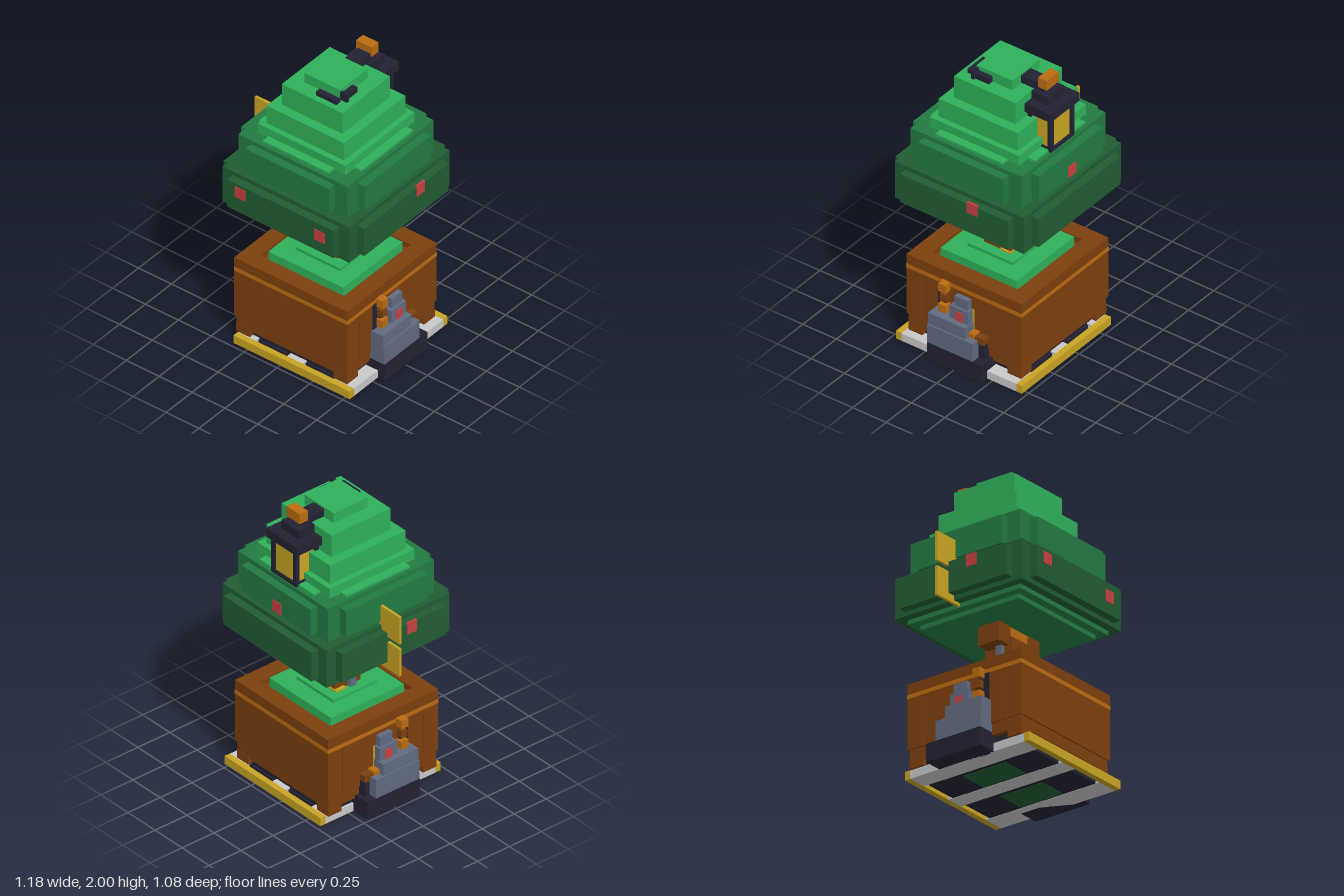
import * as THREE from 'three';

const mat = (name, color) => {
  const m = new THREE.MeshStandardMaterial({ color });
  m.name = name;
  return m;
};

export function createModel() {
  const brightGreen = mat('brightGreen', 0x2eb05a), midGreen = mat('midGreen', 0x237a42);
  const darkGreen = mat('darkGreen', 0x215c33), brown = mat('brown', 0x7c3f0e);
  const orange = mat('orange', 0xbb6b10), yellow = mat('yellow', 0xc9a423);
  const black = mat('black', 0x222233), grey = mat('grey', 0x606a80);
  const white = mat('white', 0xc8c8c8), red = mat('red', 0xc84040);

  const model = new THREE.Group();
  const group = (name, x = 0) => {
    const g = new THREE.Group();
    g.name = name;
    g.position.x = x;
    model.add(g);
    return g;
  };
  // Box given by its limits on each axis
  const box = (parent, name, m, x0, x1, y0, y1, z0, z1) => {
    const mesh = new THREE.Mesh(new THREE.BoxGeometry(x1 - x0, y1 - y0, z1 - z0), m);
    mesh.position.set((x0 + x1) / 2, (y0 + y1) / 2, (z0 + z1) / 2);
    mesh.name = name;
    parent.add(mesh);
    return mesh;
  };
  // Square ring, open in the middle
  const ring = (parent, name, m, half, inner, y0, y1) => {
    for (const s of [-1, 1]) {
      const [a, b] = s > 0 ? [inner, half] : [-half, -inner];
      box(parent, name, m, -half, half, y0, y1, a, b);
      box(parent, name, m, a, b, y0, y1, -inner, inner);
    }
  };

  // Everything is centred on x = 0.05, apart from the side leaves
  const C = 0.05;

  // Pallet
  const pallet = group('pallet');
  for (const s of [-1, 1]) box(pallet, 'palletRail', yellow, -0.355, 0.53, 0, 0.057, s * 0.45 - 0.02, s * 0.45 + 0.02);
  for (const [a, b] of [[-0.355, -0.22], [0.02, 0.14], [0.38, 0.53]]) {
    box(pallet, 'palletSlat', white, a, b, 0, 0.055, -0.43, 0.43);
  }
  for (const [a, b] of [[-0.22, 0.02], [0.14, 0.38]]) {
    box(pallet, 'palletFloor', black, a, b, 0.002, 0.045, -0.4, 0.4);
    box(pallet, 'palletPatch', darkGreen, a + 0.03, b - 0.01, 0, 0.03, -0.16, 0.16);
  }

  // Planter
  const planter = group('planter', C);
  box(planter, 'underFrame', black, -0.39, 0.39, 0.045, 0.105, -0.39, 0.39);
  for (const sx of [-1, 1]) for (const sz of [-1, 1]) {
    box(planter, 'foot', brown, sx * 0.37 - 0.052, sx * 0.37 + 0.052, 0.055, 0.11, sz * 0.37 - 0.052, sz * 0.37 + 0.052);
    box(planter, 'cornerPost', brown, sx * 0.375 - 0.055, sx * 0.375 + 0.055, 0.178, 0.515, sz * 0.375 - 0.055, sz * 0.375 + 0.055);
    box(planter, 'seam', darkGreen, sx * 0.415 - 0.006, sx * 0.415 + 0.006, 0.18, 0.515, sz * 0.328 - 0.007, sz * 0.328 + 0.007);
  }
  box(planter, 'baseBand', brown, -0.42, 0.42, 0.1, 0.18, -0.42, 0.42);
  box(planter, 'wall', brown, -0.418, 0.418, 0.178, 0.57, -0.425, 0.425);
  for (const s of [-1, 1]) {
    box(planter, 'endPanel', brown, -0.42, 0.42, 0.178, 0.515, s * 0.4225 - 0.0075, s * 0.4225 + 0.0075);
    box(planter, 'sidePanel', brown, s * 0.42 - 0.01, s * 0.42 + 0.01, 0.178, 0.515, -0.315, 0.315);
  }
  ring(planter, 'stripe', orange, 0.432, 0.33, 0.513, 0.54);
  ring(planter, 'rim', brown, 0.43, 0.32, 0.54, 0.61);
  box(planter, 'lowerMound', brightGreen, -0.285, 0.285, 0.56, 0.635, -0.285, 0.285);
  box(planter, 'upperMound', brightGreen, -0.17, 0.17, 0.63, 0.655, -0.17, 0.17);

  // Machine on each side of the planter
  for (const s of [-1, 1]) {
    const g = group(s > 0 ? 'leftMachine' : 'rightMachine', C);
    const part = (name, m, x0, x1, ...rest) => box(g, name, m, Math.min(s * x0, s * x1), Math.max(s * x0, s * x1), ...rest);
    part('machineBase', black, 0.39, 0.533, 0, 0.12, -0.21, 0.2);
    part('machineBody', grey, 0.42, 0.53, 0.12, 0.25, -0.14, 0.2);
    part('machineShoulder', grey, 0.42, 0.52, 0.25, 0.33, -0.075, 0.2);
    part('machineNeck', grey, 0.42, 0.48, 0.33, 0.42, -0.07, 0.07);
    part('machineTop', grey, 0.42, 0.465, 0.42, 0.49, -0.055, 0.045);
    part('redLamp', red, 0.475, 0.485, 0.33, 0.395, -0.03, 0.025);
    part('backPlate', black, 0.42, 0.436, 0.33, 0.515, 0.15, 0.19);
    part('sidePlate', yellow, 0.42, 0.436, 0.28, 0.42, -0.08, -0.07);
    part('upperBlock', orange, 0.42, 0.48, 0.485, 0.545, 0.1, 0.155);
    part('middleBlock', brown, 0.42, 0.475, 0.415, 0.465, 0.105, 0.15);
    part('lowerBlock', orange, 0.42, 0.48, 0.34, 0.395, 0.1, 0.155);
    part('blockRod', black, 0.42, 0.45, 0.33, 0.5, 0.115, 0.14);
    part('arm', brown, 0.42, 0.48, 0.225, 0.27, -0.185, -0.12);
    part('armJoint', orange, 0.42, 0.485, 0.245, 0.28, -0.12, -0.07);
    part('armPost', black, 0.42, 0.47, 0.12, 0.225, -0.18, -0.14);
  }

  // Trunk
  const trunk = group('trunk', C);
  box(trunk, 'trunkPost', brown, -0.1, 0.1, 0.65, 0.9, -0.1, 0.1);
  box(trunk, 'trunkCore', orange, -0.085, 0.085, 0.9, 1, -0.075, 0.075);
  for (const s of [-1, 1]) box(trunk, 'branch', brown, s * 0.14 - 0.055, s * 0.14 + 0.055, 0.85, 1, -0.08, 0.08);
  box(trunk, 'pipe', grey, -0.13, -0.1, 0.65, 0.98, 0, 0.045);
  box(trunk, 'trunkBand', yellow, -0.12, 0.11, 0.65, 0.668, -0.105, -0.03);

  // Canopy: stepped blocks, some widened by cross-shaped arms
  const canopy = group('canopy', C);
  const block = (name, m, hx, hz, y0, y1) => box(canopy, name, m, -hx, hx, y0, y1, -hz - 0.005, hz - 0.005);
  const tier = (name, m, core, reach, width, y0, y1, a0, a1) => {
    block(name + 'Core', m, core, core, y0, y1);
    block(name + 'SideArms', m, reach, width, a0, a1);
    block(name + 'EndArms', m, width, reach, a0, a1);
  };
  block('undersideLower', midGreen, 0.372, 0.372, 0.975, 1.01);
  block('undersideUpper', midGreen, 0.427, 0.427, 1.005, 1.04);
  tier('bottomTier', darkGreen, 0.481, 0.535, 0.405, 1.035, 1.3, 1.065, 1.27);
  tier('middleTier', midGreen, 0.415, 0.47, 0.318, 1.3, 1.535, 1.32, 1.505);
  tier('upperTier', brightGreen, 0.333, 0.389, 0.25, 1.53, 1.605, 1.53, 1.55);
  block('upperStepOne', brightGreen, 0.295, 0.295, 1.6, 1.735);
  block('upperStepTwo', brightGreen, 0.23, 0.23, 1.73, 1.89);
  block('crown', brightGreen, 0.135, 0.133, 1.885, 1.96);

  // Red berries on the canopy faces
  const berries = group('berries');
  box(berries, 'frontBerry', red, -0.293, -0.215, 1.173, 1.25, 0.52, 0.535);
  box(berries, 'frontBerry', red, 0.31, 0.388, 1.143, 1.22, 0.52, 0.535);
  box(berries, 'leftBerry', red, 0.575, 0.59, 1.208, 1.286, -0.18, -0.102);
  box(berries, 'rightBerry', red, -0.49, -0.475, 1.195, 1.275, 0.098, 0.172);
  box(berries, 'backBerry', red, 0.0, 0.078, 1.33, 1.408, -0.48, -0.465);

  // Yellow plates standing out on the right side
  const plates = group('sidePlates');
  box(plates, 'lowerPlate', yellow, -0.595, -0.375, 1.015, 1.207, -0.055, -0.037);
  box(plates, 'upperPlate', yellow, -0.595, -0.4, 1.243, 1.435, -0.055, -0.037);

  // Lantern hung at the back
  const lantern = group('lantern', C);
  box(lantern, 'lanternGlass', yellow, -0.1, 0.1, 1.55, 1.78, -0.4, -0.24);
  for (const s of [-1, 1]) for (const z of [-0.4, -0.25]) {
    box(lantern, 'lanternPost', black, s * 0.1 - 0.015, s * 0.1 + 0.015, 1.54, 1.78, z - 0.014, z + 0.014);
  }
  box(lantern, 'lanternFloor', black, -0.113, 0.113, 1.535, 1.56, -0.412, -0.24);
  box(lantern, 'lanternRoof', black, -0.143, 0.143, 1.78, 1.84, -0.43, -0.237);
  box(lantern, 'lanternCap', black, -0.08, 0.08, 1.84, 1.9, -0.365, -0.24);
  box(lantern, 'lanternArm', black, -0.047, 0.047, 1.895, 1.948, -0.31, -0.138);
  box(lantern, 'lanternKnob', orange, -0.06, 0.06, 1.93, 2, -0.34, -0.275);

  // Dark fittings beside the crown
  const fittings = group('crownFittings');
  box(fittings, 'sideBar', black, 0.183, 0.222, 1.888, 1.93, 0.008, 0.125);
  box(fittings, 'sideHook', black, 0.185, 0.238, 1.888, 1.947, 0.108, 0.128);
  box(fittings, 'frontBar', black, 0.047, 0.203, 1.888, 1.918, 0.146, 0.184);

  return model;
}
